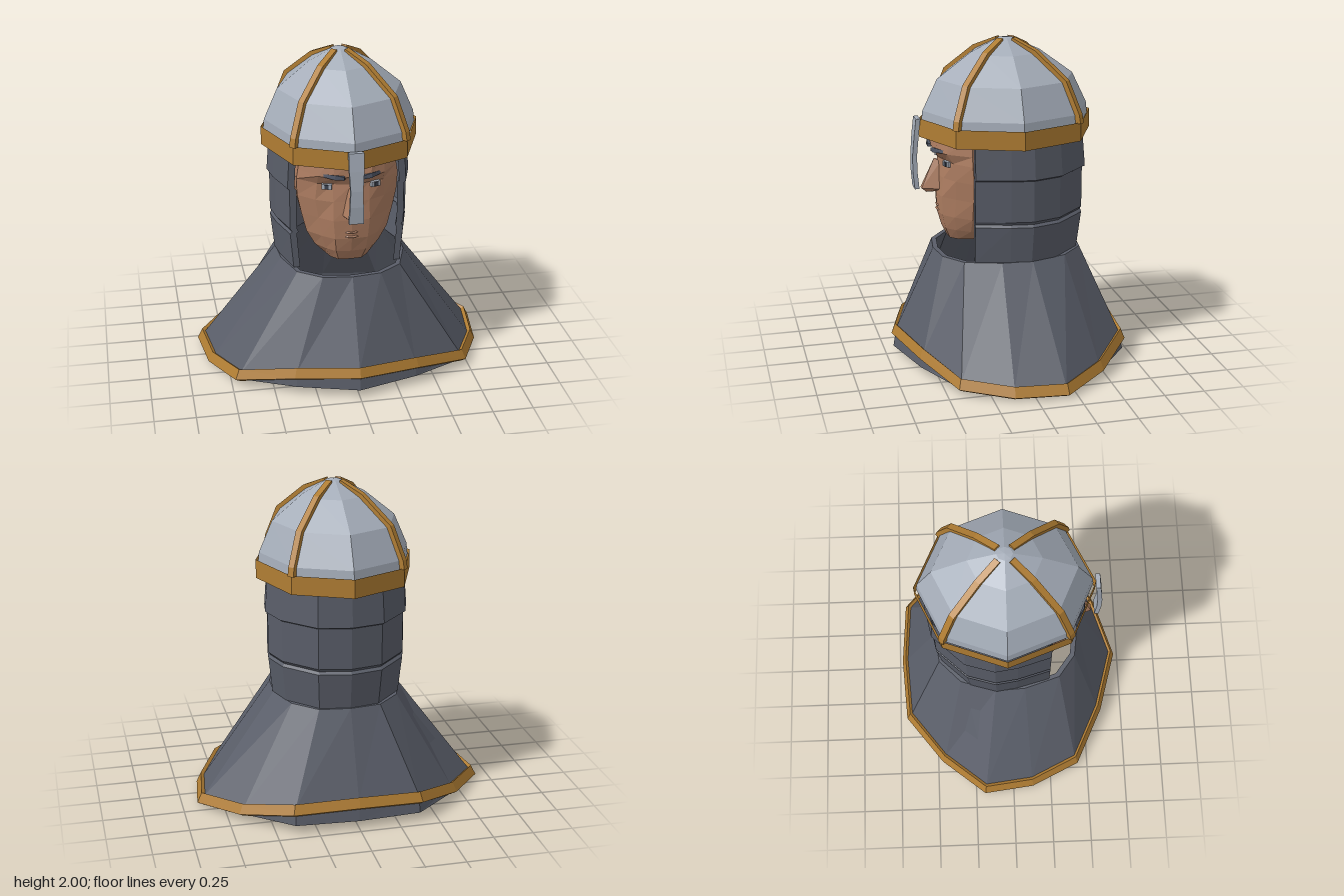
import * as THREE from 'three';
import { ConvexGeometry } from 'three/addons/geometries/ConvexGeometry.js';

const mat = (name, color) => {
  const m = new THREE.MeshStandardMaterial({ color, flatShading: true, side: THREE.DoubleSide });
  m.name = name;
  return m;
};

// Skin of quads over rings of [x, y, z]; rings run upward, points counter-clockwise from above
function loft(rings, { loop = false, caps = false } = {}) {
  const n = rings[0].length, pos = rings.flat(2), idx = [];
  const last = loop ? rings.length : rings.length - 1;
  for (let i = 0; i < last; i++) {
    const k = (i + 1) % rings.length;
    for (let j = 0; j < n; j++) {
      const a = i * n + j, b = i * n + (j + 1) % n, c = k * n + (j + 1) % n, d = k * n + j;
      idx.push(a, b, c, a, c, d);
    }
  }
  if (caps) {
    const t = (rings.length - 1) * n;
    for (let j = 1; j < n - 1; j++) idx.push(0, j + 1, j, t, t + j, t + j + 1);
  }
  const g = new THREE.BufferGeometry();
  g.setAttribute('position', new THREE.Float32BufferAttribute(pos, 3));
  g.setIndex(idx);
  const flat = g.toNonIndexed();
  flat.computeVertexNormals();
  return flat;
}

// Full outline from its +x half, ordered front to back
const mirror = half => [...half, ...half.filter(p => p[0] > 0).reverse().map(([x, ...r]) => [-x, ...r])];
const hull = pts => new ConvexGeometry(pts.map(p => new THREE.Vector3(...p)));

export function createModel() {
  const root = new THREE.Group();
  root.name = 'helmetedBust';
  const steel = mat('steel', 0xa5adb9), brass = mat('brass', 0xb07d33), cloth = mat('darkMail', 0x595d68);
  const skin = mat('skin', 0xad7d61), hair = mat('browHair', 0x4c5362), pupil = mat('pupil', 0x3a404d);
  const add = (name, geo, m, parent = root) => {
    const mesh = new THREE.Mesh(geo, m);
    mesh.name = name;
    parent.add(mesh);
    return mesh;
  };

  // Helmet: eight-sided bowl, open brow band and four ridge straps
  const CZ = -0.025, RX = 0.47, RZ = 0.525;
  const profile = [[1, 1.5], [0.985, 1.57], [0.81, 1.76], [0.41, 1.915], [0.09, 1.995], [0, 2]];
  const lathe = pts => new THREE.LatheGeometry(pts.map(p => new THREE.Vector2(...p)), 8)
    .scale(RX, 1, RZ).translate(0, 0, CZ);
  add('helmetBowl', lathe(profile), steel);
  add('browBand', lathe([[1.03, 1.41], [1.03, 1.525]]), brass);

  const strapPath = [[0.99, 1.52, 0.028, 0], [0.975, 1.57, 0.026, 0.005], [0.81, 1.76, 0.018, 0.012],
    [0.41, 1.915, 0.01, 0.02], [0.1, 1.978, 0.008, 0.022]];
  for (const sx of [1, -1]) for (const sz of [1, -1]) {
    const d = [sx * Math.SQRT1_2, sz * Math.SQRT1_2], t = [-d[1] * 0.02, d[0] * 0.02];
    const rings = strapPath.map(([s, y, out, up]) => {
      const at = (k, w) => [d[0] * (RX * s + k * out) + w * t[0], y + k * up, CZ + d[1] * (RZ * s + k * out) + w * t[1]];
      return [at(-0.5, 1), at(1, 1), at(1, -1), at(-0.5, -1)];
    });
    add('ridgeStrap', loft(rings, { caps: true }), brass);
  }

  // Nose guard
  const guard = [[1.09, 0.54, 0.045], [1.2, 0.55, 0.04], [1.3, 0.55, 0.037], [1.42, 0.54, 0.044], [1.53, 0.527, 0.045]];
  add('noseGuard', loft(guard.map(([y, z, w]) =>
    [[-w, y, z + 0.014], [w, y, z + 0.014], [w, y, z - 0.014], [-w, y, z - 0.014]]), { caps: true }), steel);

  // Head: rows of y, centre z, then x and z of three points out to the temple
  const face = [
    [0.77, 0.35, 0.07, 0.345, 0.11, 0.30, 0.13, 0.24],
    [0.84, 0.385, 0.09, 0.375, 0.145, 0.32, 0.2, 0.24],
    [0.93, 0.41, 0.1, 0.395, 0.17, 0.335, 0.25, 0.24],
    [1.05, 0.415, 0.11, 0.4, 0.19, 0.33, 0.28, 0.24],
    [1.17, 0.41, 0.11, 0.39, 0.21, 0.335, 0.305, 0.24],
    [1.28, 0.405, 0.11, 0.375, 0.2, 0.345, 0.31, 0.25],
    [1.34, 0.435, 0.11, 0.435, 0.2, 0.385, 0.3, 0.25],
    [1.46, 0.425, 0.12, 0.415, 0.2, 0.365, 0.29, 0.25],
  ];
  add('head', loft(face.map(([y, z0, x1, z1, x2, z2, x3, z3]) => mirror(
    [[0, y, z0], [x1, y, z1], [x2, y, z2], [x3, y, z3], [x3 * 0.95, y, -0.1]])), { caps: true }), skin);
  add('nose', hull([[0, 1.27, 0.425], [-0.025, 1.25, 0.39], [0.025, 1.25, 0.39], [-0.02, 1.085, 0.508], [0.02, 1.085, 0.508],
    [0, 1.055, 0.475], [-0.058, 1.085, 0.4], [0.058, 1.085, 0.4], [0, 1.055, 0.4]]), skin);
  for (const y of [0.972, 0.943])
    add('lip', hull([[-0.055, y, 0.395], [0.055, y, 0.395], [-0.025, y + 0.011, 0.405], [0.025, y + 0.011, 0.405],
      [-0.025, y, 0.417], [0.025, y, 0.417], [0, y - 0.011, 0.405]]), skin);

  for (const s of [1, -1]) {
    // Brows and eyes
    add('eyebrow', hull([[0.045, 1.33, 0.43], [0.045, 1.348, 0.43], [0.055, 1.33, 0.455], [0.055, 1.35, 0.455],
      [0.11, 1.335, 0.452], [0.11, 1.364, 0.447], [0.17, 1.34, 0.405], [0.17, 1.358, 0.4]].map(([x, y, z]) => [s * x, y, z])), hair);
    const eye = new THREE.Group();
    eye.name = 'eye';
    eye.position.set(s * 0.147, 1.268, 0.376);
    eye.rotation.y = s * 0.35;
    add('eyeball', new THREE.BoxGeometry(0.06, 0.032, 0.02), steel, eye);
    add('pupil', new THREE.BoxGeometry(0.024, 0.028, 0.008), pupil, eye).position.z = 0.011;
    root.add(eye);
  }

  // Mail hood: C-shaped wall, open at the face, in three stepped bands
  const outer = [[0.36, 0.245], [0.42, 0.04], [0.44, -0.1], [0.385, -0.28], [0.2, -0.475], [0, -0.515]];
  const inner = outer.map(([x, z], i) => i ? [x * 0.92, z * 0.93] : [0.318, z]);
  const flip = ([x, z]) => [-x, z];
  const plan = [...outer, ...outer.slice(0, -1).reverse().map(flip),
    ...inner.slice(0, -1).map(flip), ...inner.slice().reverse()];
  const steps = [[0.69, 0.92], [0.915, 0.975], [0.93, 0.94], [0.95, 0.975], [1.205, 0.975], [1.215, 1.01], [1.43, 0.975]];
  add('mailHood', loft(steps.map(([y, s]) => plan.map(([x, z]) => [x * s, y, z > 0.2 ? z : z * s]))), cloth);

  // Shoulder cape: thick cloth flaring to a wavy hem with a short drop below the trim
  const hem = mirror([[0, 0.14, 0.715], [0.385, 0.115, 0.605], [0.73, 0.045, 0.435], [0.87, 0.02, 0.13],
    [0.91, 0.025, -0.19], [0.69, 0.055, -0.47], [0.4, 0.125, -0.7], [0, 0.14, -0.725]]);
  const collar = mirror([[0, 0.69, 0.44], [0.18, 0.69, 0.415], [0.32, 0.69, 0.31], [0.39, 0.69, 0.09],
    [0.4, 0.69, -0.1], [0.33, 0.69, -0.32], [0.19, 0.69, -0.455], [0, 0.69, -0.48]]);
  const offset = (k, dy) => ([x, y, z]) => [x * k, y + dy, z * k];
  const drop = (kx, kz) => ([x, y, z]) => [x * kx, Math.min(y, 0.052), z * kz];
  add('shoulderCape', loft([hem.map(drop(0.965, 0.985)), hem.map(offset(0.955, 0.035)), collar,
    collar.map(offset(0.93, 0)), hem.map(offset(0.925, 0.035)), hem.map(drop(0.925, 0.94))], { loop: true }), cloth);
  const corners = [offset(0.967, 0.062), offset(1, 0), offset(0.96, -0.02), offset(0.94, 0.045)];
  add('capeTrim', loft(hem.map(p => corners.map(f => f(p))), { loop: true }), brass);

  return root;
}
